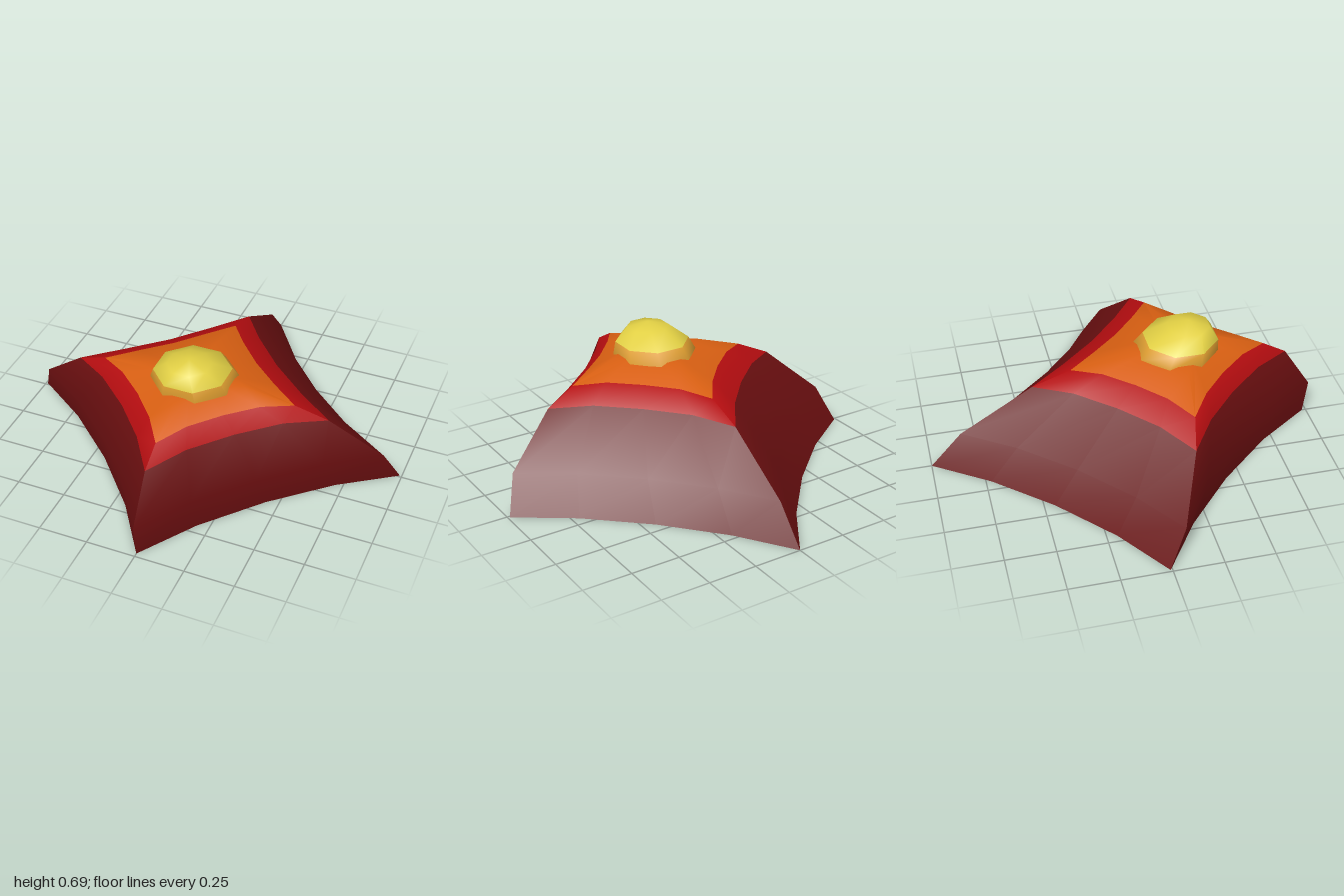
import * as THREE from 'three';
import { toCreasedNormals } from 'three/addons/utils/BufferGeometryUtils.js';

const paint = (name, color) => {
  const m = new THREE.MeshStandardMaterial({ color });
  m.name = name;
  return m;
};

// Repeats a few outline points [x, z] round the y axis in quarter turns.
function fourfold(quarter) {
  const out = [];
  let pts = quarter;
  for (let k = 0; k < 4; k++) {
    out.push(...pts);
    pts = pts.map(([x, z]) => [z, -x]);
  }
  return out;
}

// Skins a stack of rings { y, r, z, lift, mat }; mat colours the band above the ring.
// The stack is closed by a fan at the bottom and at the top point.
function loft(outline, rings, apex, crease) {
  const n = outline.length;
  const pos = [], geo = new THREE.BufferGeometry();
  const loops = rings.map(({ y, r, z, lift = 0 }) => outline.map(([px, pz]) =>
    [px * r, y + (px * pz === 0 ? 0 : lift), z + pz * r]));
  const band = (mat, build) => {
    const start = pos.length / 3;
    for (let i = 0; i < n; i++) build(i, (i + 1) % n);
    geo.addGroup(start, pos.length / 3 - start, mat);
  };
  const base = [0, rings[0].y, rings[0].z];
  band(rings[0].mat, (i, j) => pos.push(...base, ...loops[0][j], ...loops[0][i]));
  for (let k = 0; k < loops.length - 1; k++) {
    const lo = loops[k], hi = loops[k + 1];
    band(rings[k].mat, (i, j) =>
      pos.push(...lo[i], ...lo[j], ...hi[j], ...lo[i], ...hi[j], ...hi[i]));
  }
  const top = loops[loops.length - 1];
  band(rings[rings.length - 1].mat, (i, j) => pos.push(...top[i], ...top[j], ...apex));
  geo.setAttribute('position', new THREE.Float32BufferAttribute(pos, 3));
  return toCreasedNormals(geo, crease);
}

export function createModel() {
  const group = new THREE.Group();
  const darkRed = paint('dark red', 0x6a0f10);
  const red = paint('red', 0xb40d10);
  const orange = paint('orange', 0xd85f12);
  const amber = paint('amber', 0xdc9c30);
  const yellow = paint('yellow', 0xe2d044);

  // Four-pointed mound with concave sides, leaning forward as it rises
  const star = fourfold([[0, 1], [0.19, 0.72], [0.44, 0.44], [0.72, 0.19]]);
  const mound = new THREE.Mesh(loft(star, [
    { y: 0, r: 0.99, z: -0.01, mat: 0 },
    { y: 0.18, r: 0.92, z: 0.08, mat: 0 },
    { y: 0.41, r: 0.66, z: 0.193, lift: 0.02, mat: 1 },
    { y: 0.48, r: 0.5, z: 0.23, lift: 0.02, mat: 2 },
    { y: 0.553, r: 0.25, z: 0.267, mat: 2 },
  ], [0, 0.555, 0.267], 0.8), [darkRed, red, orange]);
  mound.name = 'mound';
  group.add(mound);

  // Eight-sided dome with an amber skirt
  const octagon = fourfold([[-0.414, 1], [0.414, 1]]);
  const dome = new THREE.Mesh(loft(octagon, [
    { y: 0.5, r: 0.198, z: 0.265, mat: 0 },
    { y: 0.54, r: 0.198, z: 0.265, mat: 0 },
    { y: 0.598, r: 0.176, z: 0.29, mat: 1 },
    { y: 0.66, r: 0.1, z: 0.33, mat: 1 },
  ], [0, 0.685, 0.33], 1), [amber, yellow]);
  dome.name = 'dome';
  group.add(dome);

  return group;
}
